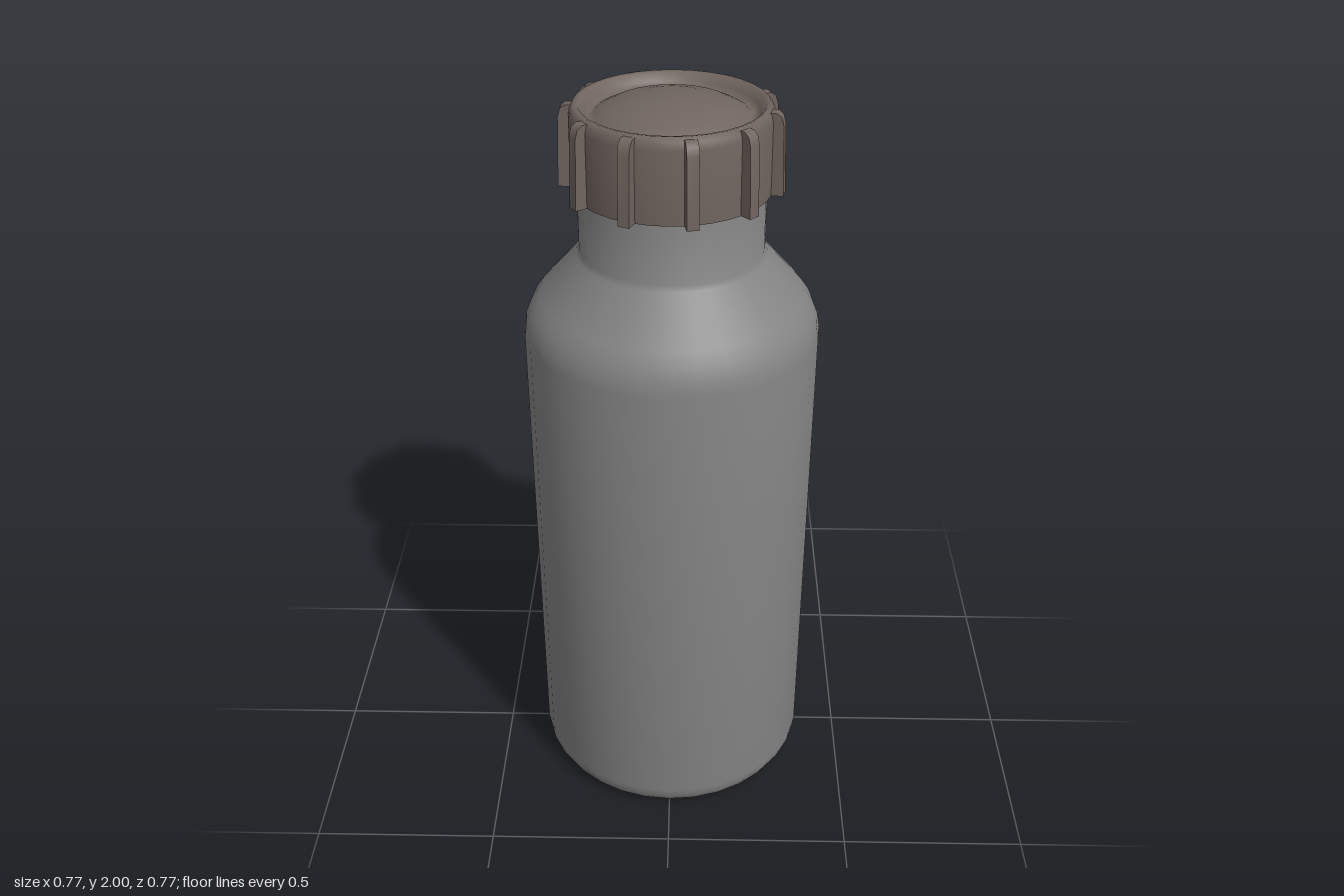
import * as THREE from 'three';
import { toCreasedNormals } from 'three/addons/utils/BufferGeometryUtils.js';

const SIDES = 32;

function lathe(points, crease, name, material) {
  const profile = points.map(([r, y]) => new THREE.Vector2(r, y));
  const geometry = toCreasedNormals(new THREE.LatheGeometry(profile, SIDES), crease);
  const mesh = new THREE.Mesh(geometry, material);
  mesh.name = name;
  return mesh;
}

// Upright fin: a radial side profile with a thickness, turned to an angle around y
function fin(points, width, degrees, name, material) {
  const shape = new THREE.Shape(points.map(([r, y]) => new THREE.Vector2(r, y)));
  const geometry = new THREE.ExtrudeGeometry(shape, { depth: width, bevelEnabled: false });
  geometry.translate(0, 0, -width / 2);
  const mesh = new THREE.Mesh(toCreasedNormals(geometry, 1.2), material);
  mesh.rotation.y = -THREE.MathUtils.degToRad(degrees);
  mesh.name = name;
  return mesh;
}

export function createModel() {
  const model = new THREE.Group();
  model.name = 'bottle';
  const grey = new THREE.MeshStandardMaterial({ color: 0x848484 });
  const brown = new THREE.MeshStandardMaterial({ color: 0x70655f });

  // Body with rounded foot, sloping shoulder and straight neck
  model.add(lathe([
    [0, 0], [0.32, 0], [0.345, 0.006], [0.368, 0.022], [0.38, 0.045], [0.383, 0.07],
    [0.383, 1.39], [0.377, 1.425], [0.363, 1.46], [0.34, 1.493],
    [0.243, 1.602], [0.235, 1.615], [0.235, 1.85],
  ], 0.75, 'body', grey));

  // Screw cap: skirt, rounded rim, sunken groove and domed centre
  const cap = new THREE.Group();
  cap.name = 'cap';
  cap.add(lathe([
    [0.225, 1.83], [0.23, 1.775], [0.25, 1.775], [0.249, 1.955], [0.245, 1.975], [0.236, 1.986],
    [0.226, 1.984], [0.212, 1.965], [0.203, 1.954], [0.195, 1.953], [0.185, 1.96],
    [0.15, 1.977], [0.1, 1.99], [0.05, 1.997], [0, 2],
  ], 1.2, 'lid', brown));

  // Grip ribs, evenly stepped, with one place at the back left for the small stop
  const ribProfile = [
    [0.232, 1.775], [0.279, 1.775], [0.273, 1.95], [0.267, 1.971], [0.255, 1.98], [0.232, 1.98],
  ];
  for (let i = 0; i < 8; i++) {
    cap.add(fin(ribProfile, 0.03, 180 - i * 33.75, 'gripRib', brown));
  }
  for (const angle of [-112.5, -146.25]) {
    cap.add(fin(ribProfile, 0.03, angle, 'gripRib', brown));
  }
  const stopProfile = [[0.235, 1.81], [0.257, 1.84], [0.257, 1.87], [0.235, 1.9]];
  cap.add(fin(stopProfile, 0.047, -84.4, 'stop', brown));

  model.add(cap);
  return model;
}
